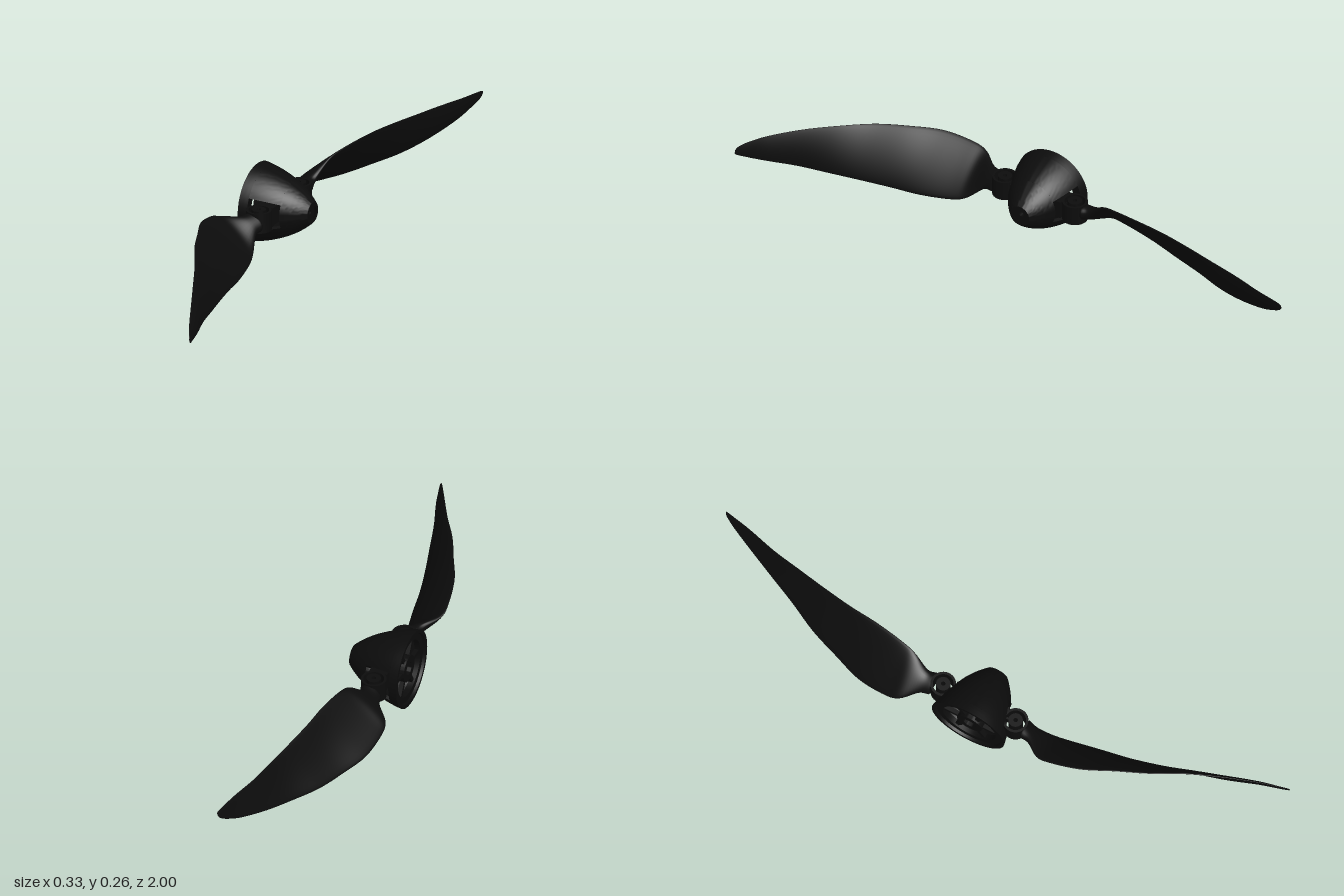
import * as THREE from 'three';
import { toCreasedNormals } from 'three/addons/utils/BufferGeometryUtils.js';

const black = new THREE.MeshStandardMaterial({ color: 0x0c0c0c, side: THREE.DoubleSide });
black.name = 'black plastic';

const AXIS_Y = 0.13, AXIS_Z = 0.004, PIVOT_X = -0.07, PIVOT_Z = 0.13;
const BACK = -0.147, FRONT = 0.053, WALL = 0.012;

function add(parent, name, geometry) {
  const mesh = new THREE.Mesh(geometry, black);
  mesh.name = name;
  parent.add(mesh);
  return mesh;
}

// closed profile [radius, height] turned around y
function turned(profile, segments = 48, start = 0, length = Math.PI * 2) {
  const pts = [...profile, profile[0]].map(([r, h]) => new THREE.Vector2(r, h));
  return toCreasedNormals(new THREE.LatheGeometry(pts, segments, start, length), 0.6);
}
const tube = (inner, outer, h0, h1, segments) =>
  turned([[inner, h0], [outer, h0], [outer, h1], [inner, h1]], segments);
const alongX = (geometry) => geometry.rotateZ(-Math.PI / 2);

// outer radius of the spinner at x
function spinnerRadius(x) {
  const s = x - BACK;
  return 0.13 - 0.17 * s - 1.2 * s * s - 40 * s ** 5;
}

// wall profile of the spinner between two x positions
function wallProfile(x0, x1, steps = 8) {
  const outer = [], inner = [];
  for (let i = 0; i <= steps; i++) {
    const x = x0 + (x1 - x0) * i / steps;
    outer.push([spinnerRadius(x), x]);
    inner.unshift([spinnerRadius(x) - WALL, x]);
  }
  return [...outer, ...inner];
}

function createHub() {
  const hub = new THREE.Group();
  hub.name = 'hub';
  hub.position.set(0, AXIS_Y, AXIS_Z);

  // spinner shell, slotted on both sides for the blade roots
  const slotBack = -0.117, slotFront = -0.02, half = 0.46;
  add(hub, 'spinnerRim', alongX(turned(wallProfile(BACK, slotBack, 4), 64)));
  add(hub, 'spinnerNose', alongX(turned(wallProfile(slotFront, FRONT, 12), 64)));
  const sideProfile = wallProfile(slotBack, slotFront);
  const capShape = new THREE.Shape(sideProfile.map(([r, h]) => new THREE.Vector2(r, h)));
  for (const start of [half, Math.PI + half]) {
    const length = Math.PI - 2 * half;
    add(hub, 'spinnerSide', alongX(turned(sideProfile, 32, start, length)));
    for (const phi of [start, start + length]) {
      add(hub, 'slotEdge', alongX(new THREE.ShapeGeometry(capShape).rotateY(phi - Math.PI / 2)));
    }
  }

  // recessed nose plate, shaft tube and rear rings
  add(hub, 'nosePlate', alongX(tube(0.008, 0.032, 0.03, 0.042)));
  add(hub, 'shaftTube', alongX(tube(0.008, 0.028, -0.12, 0.035)));
  add(hub, 'rearCollar', alongX(tube(0.022, 0.045, -0.138, -0.11)));
  add(hub, 'rearRing', alongX(tube(0.095, 0.122, -0.138, -0.118)));
  for (let i = 0; i < 6; i++) {
    const spoke = add(hub, 'spoke', new THREE.BoxGeometry(0.014, 0.06, 0.014).translate(-0.125, 0.07, 0));
    spoke.rotation.x = Math.PI / 6 + i * Math.PI / 3;
  }

  // cross bar that carries both pivots, with the shaft bore through it
  const bar = new THREE.Shape();
  bar.moveTo(-0.094, -0.03).lineTo(0.094, -0.03).lineTo(0.094, 0.03).lineTo(-0.094, 0.03).closePath();
  bar.holes.push(new THREE.Path().absarc(0, 0, 0.01, 0, Math.PI * 2, true));
  const barGeometry = new THREE.ExtrudeGeometry(bar, { depth: 0.06, bevelEnabled: false });
  add(hub, 'crossBar', barGeometry.rotateY(Math.PI / 2).translate(-0.1, 0, 0));
  return hub;
}

// blade stations: z, upper edge x y, lower edge x y, half thickness, camber
const STATIONS = [
  [0.168, -0.103, 0.150, -0.040, 0.110, 0.026, 0],
  [0.200, -0.110, 0.154, -0.045, 0.102, 0.020, 0],
  [0.250, -0.148, 0.168, -0.026, 0.060, 0.013, 0.003],
  [0.300, -0.152, 0.184, -0.012, 0.044, 0.010, 0.006],
  [0.400, -0.132, 0.203, 0.010, 0.037, 0.009, 0.008],
  [0.500, -0.088, 0.209, 0.027, 0.039, 0.008, 0.008],
  [0.600, -0.043, 0.207, 0.050, 0.044, 0.007, 0.007],
  [0.700, 0.014, 0.196, 0.076, 0.050, 0.006, 0.006],
  [0.800, 0.064, 0.175, 0.102, 0.056, 0.005, 0.005],
  [0.900, 0.112, 0.142, 0.136, 0.060, 0.004, 0.003],
  [0.960, 0.140, 0.112, 0.153, 0.062, 0.003, 0.001],
  [0.988, 0.155, 0.092, 0.161, 0.064, 0.002, 0],
  [0.996, 0.160, 0.080, 0.163, 0.068, 0.001, 0],
];

function bladeGeometry() {
  const curve = (f) => new THREE.CatmullRomCurve3(STATIONS.map(f), false, 'catmullrom', 0.5);
  const upper = curve(([z, ax, ay]) => new THREE.Vector3(ax, ay, z));
  const lower = curve(([z, , , bx, by]) => new THREE.Vector3(bx, by, z));
  const body = curve((s) => new THREE.Vector3(s[5], s[6], 0));
  const rows = 72, cols = 28, positions = [], index = [];

  for (let i = 0; i <= rows; i++) {
    const a = upper.getPoint(i / rows), b = lower.getPoint(i / rows), t = body.getPoint(i / rows);
    const dx = b.x - a.x, dy = b.y - a.y, chord = Math.hypot(dx, dy);
    for (let j = 0; j < cols; j++) {
      const angle = j / cols * Math.PI * 2;
      const u = (1 - Math.cos(angle)) / 2;
      const off = t.x * Math.sin(angle) + t.y * 4 * u * (1 - u);
      positions.push(a.x + dx * u - dy / chord * off, a.y + dy * u + dx / chord * off, a.z);
    }
  }
  for (let i = 0; i < rows; i++) {
    for (let j = 0; j < cols; j++) {
      const k = (j + 1) % cols, p = i * cols, q = p + cols;
      index.push(p + j, q + j, p + k, p + k, q + j, q + k);
    }
  }
  // end caps
  const last = rows * cols;
  for (let j = 1; j < cols - 1; j++) {
    index.push(0, j, j + 1, last, last + j + 1, last + j);
  }
  const geometry = new THREE.BufferGeometry();
  geometry.setAttribute('position', new THREE.Float32BufferAttribute(positions, 3));
  geometry.setIndex(index);
  geometry.computeVertexNormals();
  return geometry.translate(-PIVOT_X, -AXIS_Y, -PIVOT_Z - AXIS_Z);
}

// one blade, with its origin on the pivot
function createBlade(name) {
  const blade = new THREE.Group();
  blade.name = name;
  add(blade, 'bladeSurface', bladeGeometry());
  add(blade, 'rootEye', tube(0.033, 0.041, -0.033, 0.033));
  add(blade, 'pivotPin', tube(0.007, 0.023, -0.035, 0.035, 32));
  add(blade, 'pinWeb', new THREE.BoxGeometry(0.006, 0.03, 0.018).translate(0, 0, -0.028));
  return blade;
}

export function createModel() {
  const model = new THREE.Group();
  model.name = 'foldingPropeller';
  model.add(createHub());

  const frontBlade = createBlade('frontBlade');
  frontBlade.position.set(PIVOT_X, AXIS_Y, AXIS_Z + PIVOT_Z);
  model.add(frontBlade);

  // opposite blade, half a turn round and folded slightly further back
  const rearBlade = createBlade('rearBlade');
  rearBlade.position.set(PIVOT_X, AXIS_Y, AXIS_Z - PIVOT_Z);
  rearBlade.rotation.set(Math.PI, -0.063, 0);
  model.add(rearBlade);
  return model;
}
